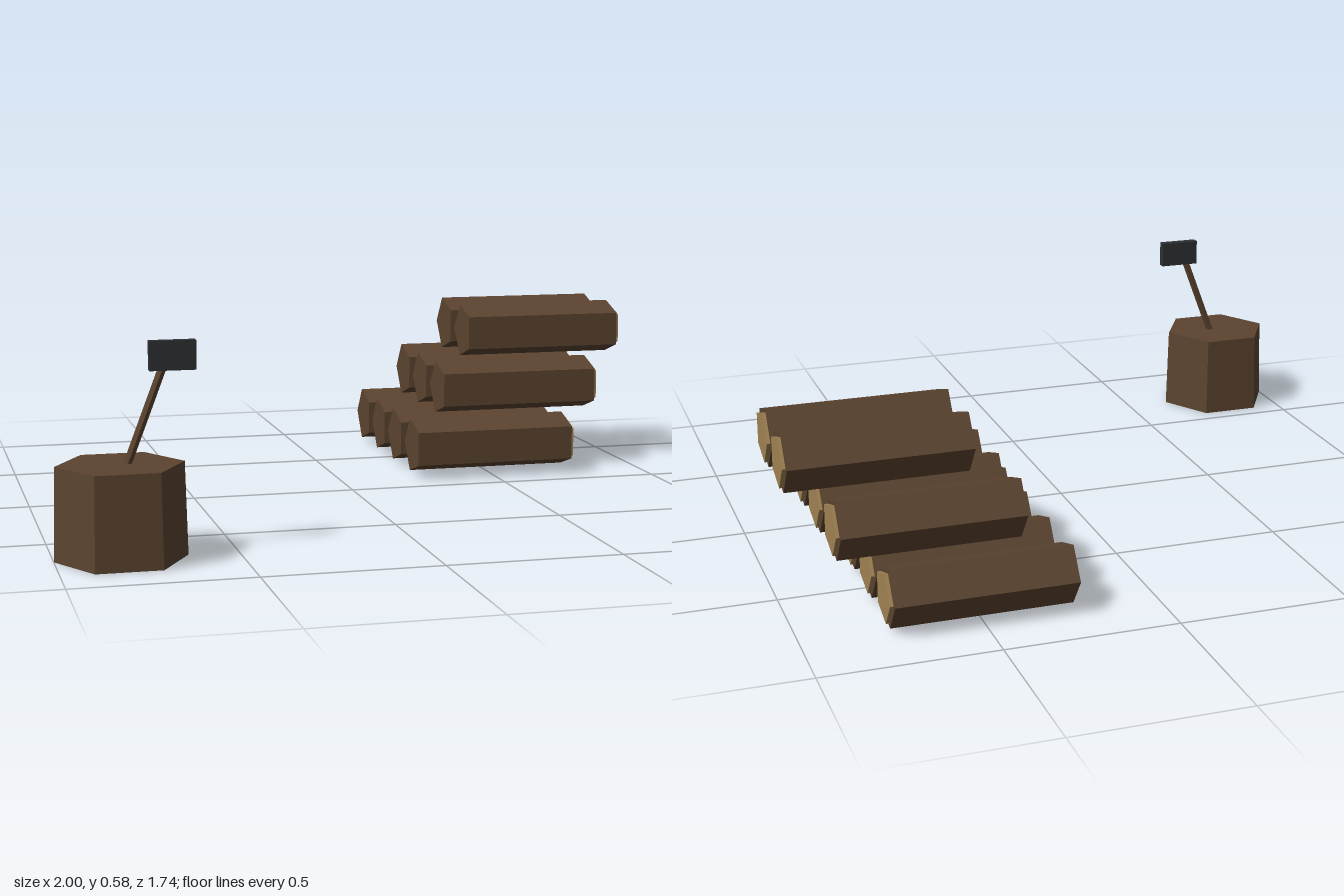
import * as THREE from 'three';

export function createModel() {
  const model = new THREE.Group();
  model.name = 'woodcuttingYard';

  const material = (name, color) => {
    const m = new THREE.MeshStandardMaterial({ color, flatShading: true });
    m.name = name;
    return m;
  };
  const bark = material('barkBrown', 0x5c4430);
  const cutWood = material('cutWood', 0xa08253);
  const iron = material('darkIron', 0x2e3033);

  const add = (parent, name, geometry, mat, x, y, z) => {
    const mesh = new THREE.Mesh(geometry, mat);
    mesh.name = name;
    mesh.position.set(x, y, z);
    parent.add(mesh);
    return mesh;
  };

  // Five-sided prism lying along x, with its point towards -z
  const prism = (radius, length) =>
    new THREE.CylinderGeometry(radius, radius, length, 5, 1, false, Math.PI).rotateZ(-Math.PI / 2);

  // Stacked logs: rows of 4, 3 and 2, each row shifted sideways
  const pile = new THREE.Group();
  pile.name = 'logPile';
  const logGeometry = prism(0.09, 0.517);
  const capGeometry = prism(0.076, 0.02);
  for (let row = 0; row < 3; row++) {
    for (let i = 0; i < 4 - row; i++) {
      const log = new THREE.Group();
      log.name = 'log';
      log.position.set(0.4985 + 0.115 * row, 0.1 + 0.17 * row, -0.163 - 0.103 * row - 0.206 * i);
      add(log, 'logBark', logGeometry, bark, 0, 0, 0);
      add(log, 'logCutEnd', capGeometry, cutWood, 0.2585, 0, 0);
      pile.add(log);
    }
  }
  model.add(pile);

  // Six-sided chopping stump with corners on the x axis
  const stump = new THREE.CylinderGeometry(0.174, 0.181, 0.258, 6, 1, false, Math.PI / 2);
  add(model, 'choppingStump', stump, bark, -0.819, 0.129, 0.711);

  // Axe leaning in the stump
  const axe = new THREE.Group();
  axe.name = 'axe';
  const handle = add(axe, 'axeHandle', new THREE.CylinderGeometry(0.012, 0.012, 0.33, 5), bark, -0.746, 0.398, 0.711);
  handle.rotation.z = -0.365;
  add(axe, 'axeHead', new THREE.BoxGeometry(0.126, 0.08, 0.026), iron, -0.675, 0.545, 0.711);
  model.add(axe);

  return model;
}
